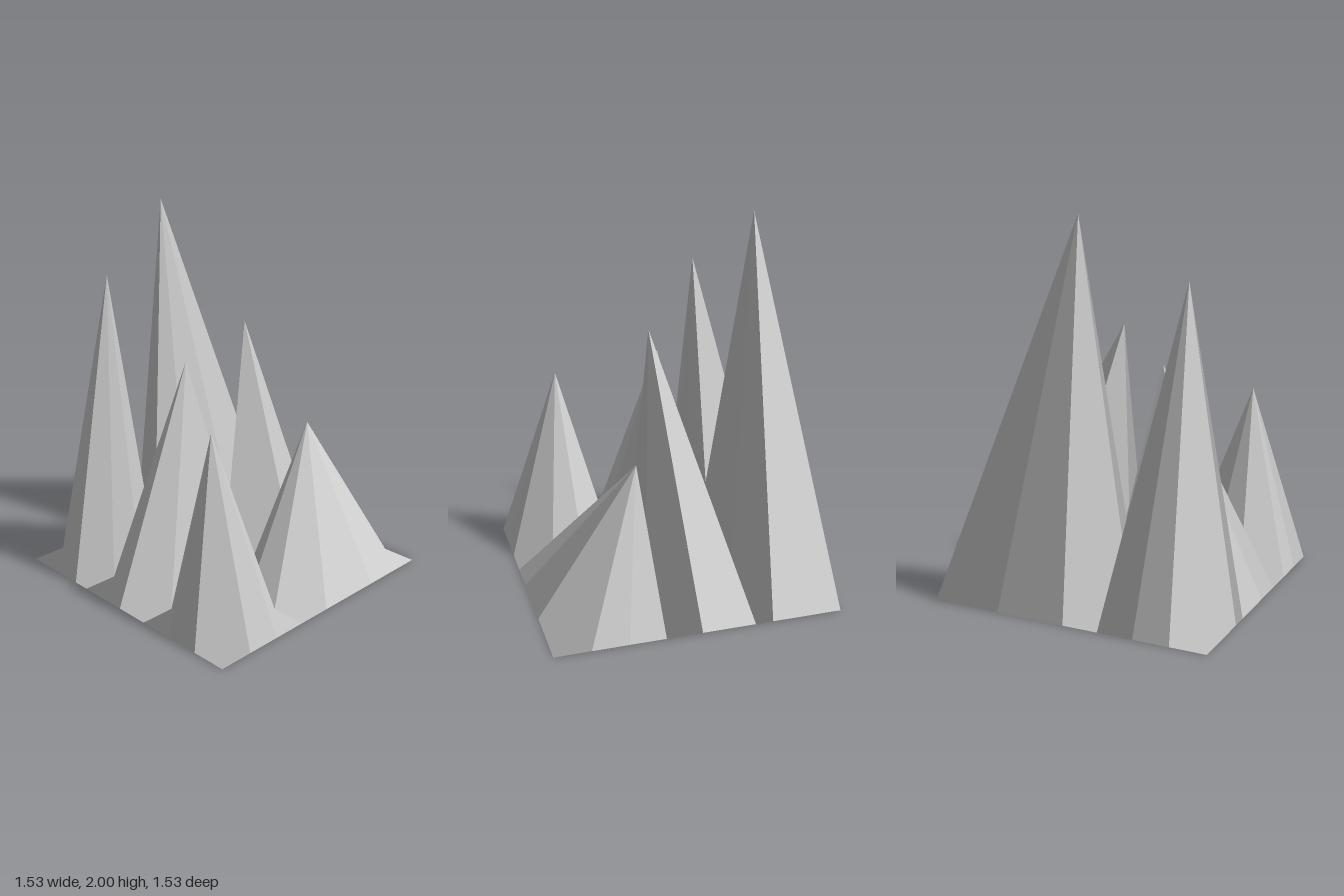
import * as THREE from 'three';

const UNIT = 0.19125; // spacing of the base grid, eight units across

// Each peak: apex in model units, then the four x and four z grid lines of its rectangular foot.
const PEAKS = [
  { name: 'backRightPeak', apex: [-0.487, 1.68, -0.36], x: [-4, -3, -2, -1], z: [-4, -2, -2, -1.5] },
  { name: 'backLeftPeak', apex: [0.028, 2, -0.52], x: [-1, 0, 2, 4], z: [-4, -2, -2, -1.5] },
  { name: 'middleRightPeak', apex: [-0.217, 1.225, -0.062], x: [-4, -3, 0, 0], z: [-1.5, 0, 0, 1] },
  { name: 'middleLeftPeak', apex: [0.079, 1.415, 0.077], x: [0, 2, 2, 4], z: [-1.5, 0, 0, 1] },
  { name: 'frontRightPeak', apex: [-0.535, 1.045, 0.456], x: [-4, -3, -2, -1], z: [1, 2, 3, 4] },
  { name: 'frontLeftPeak', apex: [0.415, 0.8, 0.244], x: [-1, 0, 2, 4], z: [1, 2, 3, 4] },
];

// An open-bottomed faceted peak: one facet per corner and one per side.
function peakGeometry({ apex, x, z }) {
  const positions = [];
  const normals = [];
  const top = new THREE.Vector3(...apex);
  const foot = (i, j) => new THREE.Vector3(x[i] * UNIT, 0, z[j] * UNIT);

  const addFacet = (normal, triangles) => {
    for (const [a, b, c] of triangles) {
      const area = b.clone().sub(a).cross(c.clone().sub(a)).length();
      if (area < 1e-6) continue;
      for (const v of [a, b, c]) {
        positions.push(v.x, v.y, v.z);
        normals.push(normal.x, normal.y, normal.z);
      }
    }
  };

  // Counter-clockwise seen from above: point before the corner, corner, point after it.
  const corners = [
    [foot(1, 0), foot(0, 0), foot(0, 1)],
    [foot(0, 2), foot(0, 3), foot(1, 3)],
    [foot(2, 3), foot(3, 3), foot(3, 2)],
    [foot(3, 1), foot(3, 0), foot(2, 0)],
  ];
  corners.forEach(([before, corner, after], i) => {
    // Corner facet with one shared normal; alternate corners are ridged or lie flat at the foot
    const normal = corner.clone().sub(top).cross(after.clone().sub(before)).normalize();
    const ridged = i % 2 === 1;
    addFacet(normal, ridged
      ? [[top, before, corner], [top, corner, after]]
      : [[top, before, after], [before, corner, after]]);

    // Side facet up to the next corner
    const next = corners[(i + 1) % 4][0];
    const sideNormal = after.clone().sub(top).cross(next.clone().sub(top)).normalize();
    addFacet(sideNormal, [[top, after, next]]);
  });

  const geometry = new THREE.BufferGeometry();
  geometry.setAttribute('position', new THREE.Float32BufferAttribute(positions, 3));
  geometry.setAttribute('normal', new THREE.Float32BufferAttribute(normals, 3));
  return geometry;
}

export function createModel() {
  const group = new THREE.Group();
  group.name = 'mountainRange';
  const material = new THREE.MeshStandardMaterial({ color: 0xcccccc, side: THREE.DoubleSide });
  for (const peak of PEAKS) {
    const mesh = new THREE.Mesh(peakGeometry(peak), material);
    mesh.name = peak.name;
    group.add(mesh);
  }
  return group;
}
